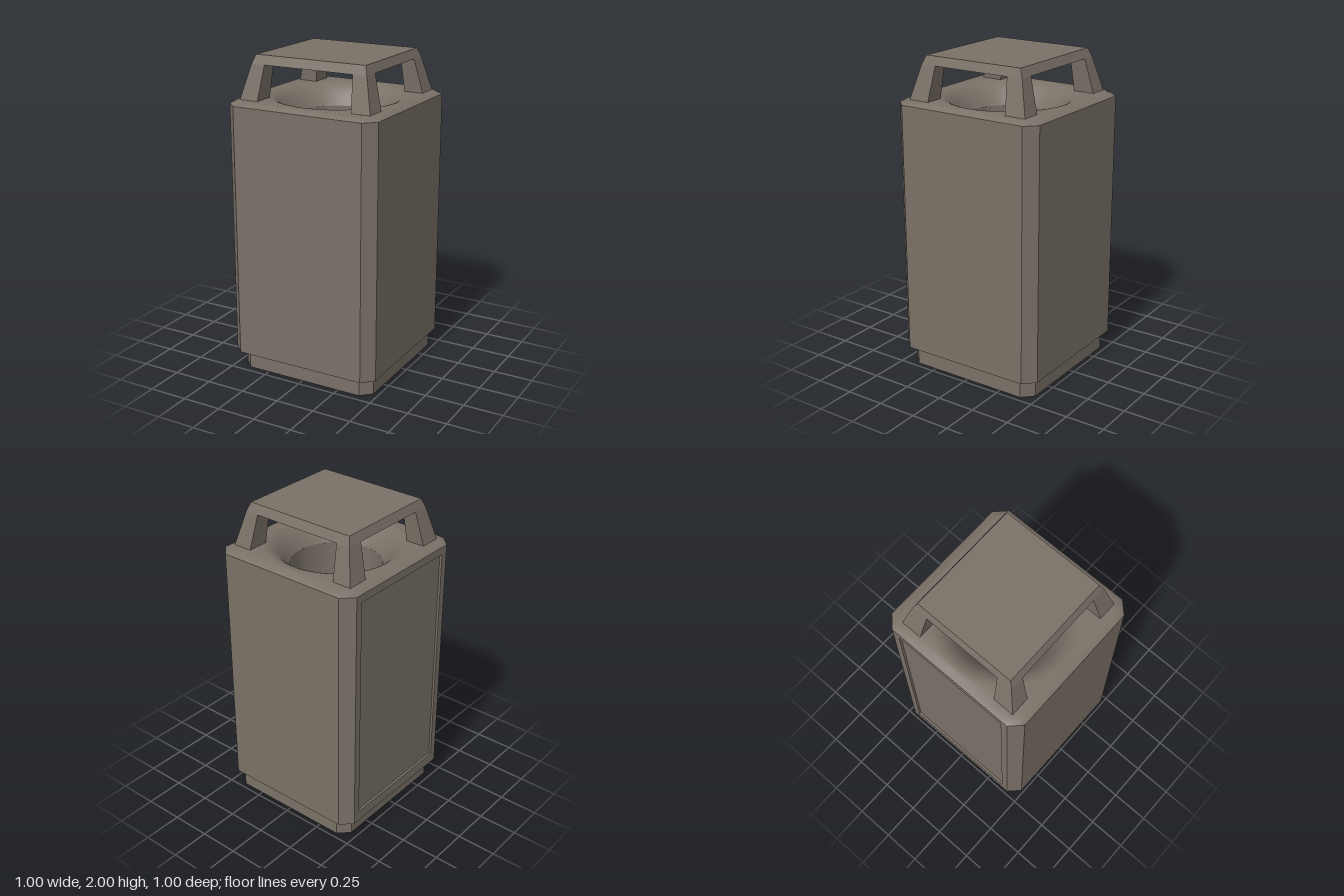
import * as THREE from 'three';

const stone = new THREE.MeshStandardMaterial({ color: 0x7a7167, side: THREE.DoubleSide });
stone.name = 'warm grey';

function part(name, geometry, parent) {
  const mesh = new THREE.Mesh(geometry, stone);
  mesh.name = name;
  parent.add(mesh);
  return mesh;
}

// Shape in plan, extruded upward from y0 to y1
function prism(points, y0, y1, holeRadius = 0) {
  const shape = new THREE.Shape(points.map(([x, z]) => new THREE.Vector2(x, -z)));
  if (holeRadius) shape.holes.push(new THREE.Path().absarc(0, 0, holeRadius, 0, Math.PI * 2, true));
  return new THREE.ExtrudeGeometry(shape, { depth: y1 - y0, bevelEnabled: false, curveSegments: 24 })
    .rotateX(-Math.PI / 2).translate(0, y0, 0);
}

// Square with cut corners: h is the half width, c the half length of a straight side
const octagon = (h, c) => [[h, c], [c, h], [-c, h], [-h, c], [-h, -c], [-c, -h], [c, -h], [h, -c]];

// Box whose bottom and top are different rectangles [x0, x1, z0, z1]
function taperedBox(bottom, top, y0, y1) {
  const geo = new THREE.BoxGeometry(1, 1, 1).toNonIndexed();
  const p = geo.attributes.position;
  for (let i = 0; i < p.count; i++) {
    const up = p.getY(i) > 0;
    const r = up ? top : bottom;
    p.setXYZ(i, r[p.getX(i) > 0 ? 1 : 0], up ? y1 : y0, r[p.getZ(i) > 0 ? 3 : 2]);
  }
  geo.computeVertexNormals();
  return geo;
}

// Smooth lid: octagonal rim blending into a round funnel
function funnelTop() {
  const angles = [];
  const corner = Math.atan2(0.43, 0.5);
  for (let q = 0; q < 4; q++) {
    const mid = q * Math.PI / 2;
    for (let i = 0; i < 14; i++) angles.push(mid - corner + 2 * corner * i / 14);
    for (let i = 0; i < 2; i++) angles.push(mid + corner + (Math.PI / 2 - 2 * corner) * i / 2);
  }
  const octRadius = (a, h, d) => {
    const c = Math.abs(Math.cos(a)), s = Math.abs(Math.sin(a));
    return Math.min(h / Math.max(c, s), d / (c + s));
  };
  const rings = [
    a => [octRadius(a, 0.5, 0.93), 1.71],
    a => [octRadius(a, 0.46, 0.86), 1.735],
  ];
  for (let k = 0; k <= 10; k++) {
    const t = k / 10;
    rings.push(() => [0.435 - 0.155 * t, 1.735 - 0.135 * t * t]);
  }
  const pos = [], idx = [], n = angles.length;
  rings.forEach((ring, k) => angles.forEach((a, i) => {
    const [r, y] = ring(a);
    pos.push(r * Math.cos(a), y, r * Math.sin(a));
    if (k === 0) return;
    const j = (i + 1) % n, o = (k - 1) * n, m = k * n;
    idx.push(o + i, m + i, o + j, o + j, m + i, m + j);
  }));
  const geo = new THREE.BufferGeometry();
  geo.setAttribute('position', new THREE.Float32BufferAttribute(pos, 3));
  geo.setIndex(idx);
  geo.computeVertexNormals();
  return geo;
}

export function createModel() {
  const model = new THREE.Group();
  model.name = 'litterBin';

  // Plinth
  part('base', prism(octagon(0.46, 0.394), 0, 0.13), model).position.set(0.006, 0, -0.007);

  // Body with a shallow notch for the door on the -x side
  const outline = octagon(0.5, 0.43);
  outline.splice(4, 0, [-0.485, 0.43], [-0.485, -0.43]);
  part('body', prism(outline, 0.115, 1.71, 0.445), model);

  // Door frame around a recessed panel
  const rect = (Type, w, y0, y1) => new Type([[-w, y0], [w, y0], [w, y1], [-w, y1]].map(p => new THREE.Vector2(...p)));
  const frame = rect(THREE.Shape, 0.43, 0.115, 1.71);
  frame.holes.push(rect(THREE.Path, 0.385, 0.185, 1.66));
  part('doorFrame', new THREE.ExtrudeGeometry(frame, { depth: 0.015, bevelEnabled: false })
    .rotateY(-Math.PI / 2).translate(-0.485, 0, 0), model);

  // Funnel lid and the liner beneath it
  part('funnelTop', funnelTop(), model);
  const liner = [[0.28, 1.6], [0.28, 0.2]].map(p => new THREE.Vector2(...p));
  part('liner', new THREE.LatheGeometry(liner, 48), model);
  part('linerFloor', new THREE.CircleGeometry(0.28, 48).rotateX(-Math.PI / 2).translate(0, 0.2, 0), model);

  // Canopy on four leaning legs
  const canopy = new THREE.Group();
  canopy.name = 'canopy';
  canopy.position.set(0.002, 0, 0.004);
  model.add(canopy);
  part('roof', taperedBox([-0.385, 0.385, -0.357, 0.357], [-0.366, 0.366, -0.334, 0.334], 1.945, 2), canopy);
  const span = (s, inner, outer) => s > 0 ? [inner, outer] : [-outer, -inner];
  for (const sx of [-1, 1]) for (const sz of [-1, 1]) {
    part('leg', taperedBox(
      [...span(sx, 0.315, 0.44), ...span(sz, 0.277, 0.415)],
      [...span(sx, 0.295, 0.385), ...span(sz, 0.255, 0.357)], 1.725, 1.945), canopy);
  }
  return model;
}
